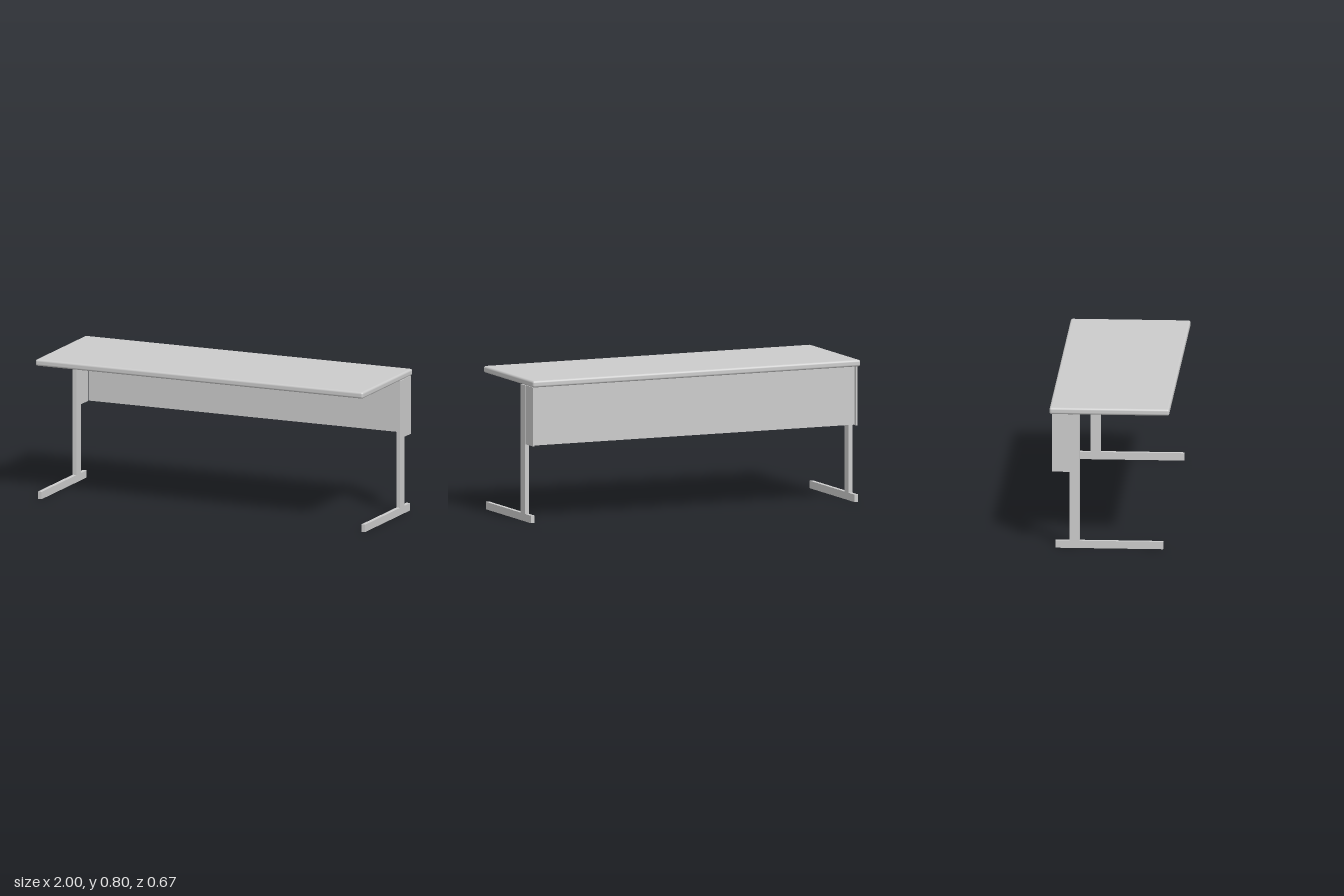
import * as THREE from 'three';
import { RoundedBoxGeometry } from 'three/addons/geometries/RoundedBoxGeometry.js';

export function createModel() {
  const group = new THREE.Group();
  const material = new THREE.MeshStandardMaterial({ color: 0xcccccc });

  // Box given by its extents along each axis
  function addBox(name, [x0, x1], [y0, y1], [z0, z1]) {
    const mesh = new THREE.Mesh(new THREE.BoxGeometry(x1 - x0, y1 - y0, z1 - z0), material);
    mesh.position.set((x0 + x1) / 2, (y0 + y1) / 2, (z0 + z1) / 2);
    mesh.name = name;
    group.add(mesh);
  }

  const underside = 0.763, height = 0.8;

  // Table top with softened edges
  const top = new THREE.Mesh(
    new RoundedBoxGeometry(2, height - underside, 0.666, 4, 0.012), material);
  top.position.y = (underside + height) / 2;
  top.name = 'tableTop';
  group.add(top);

  // T-shaped legs: a long foot and an upright set towards the back
  for (const [side, x] of [['left', [0.976, 0.999]], ['right', [-0.999, -0.976]]]) {
    addBox(side + 'Foot', x, [0, 0.042], [-0.3, 0.3]);
    addBox(side + 'Post', x, [0.042, underside], [-0.222, -0.165]);
  }

  // Thin brackets carrying the modesty panel behind the posts
  addBox('leftBracket', [0.985, 0.995], [0.432, underside], [-0.318, -0.222]);
  addBox('rightBracket', [-0.985, -0.976], [0.432, underside], [-0.318, -0.222]);

  // Modesty panel, leaving a narrow gap at the right bracket
  addBox('modestyPanel', [-0.967, 0.985], [0.437, underside], [-0.318, -0.308]);

  return group;
}
